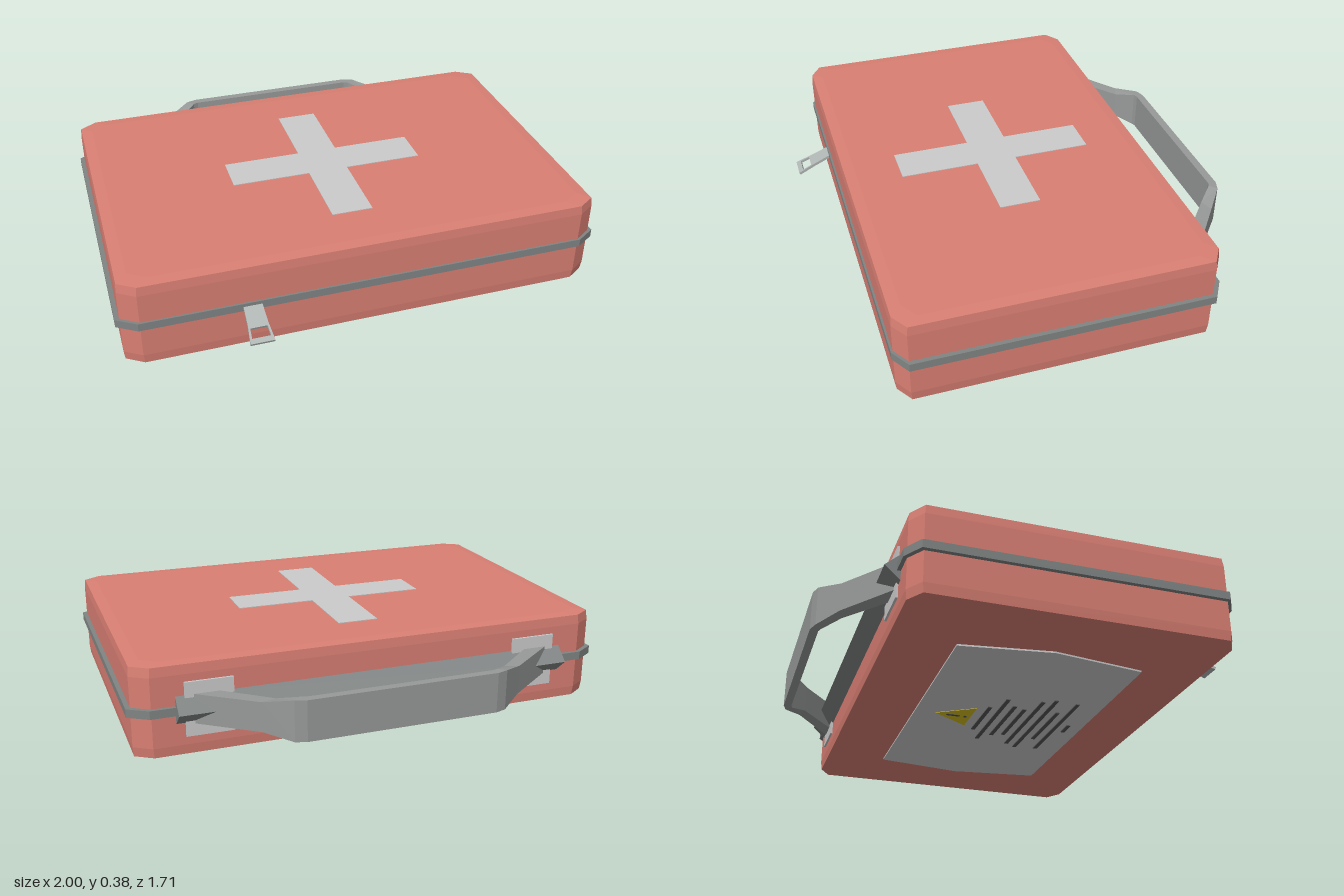
import * as THREE from 'three';

const RED = 0xd97f73, DARK = 0x808584, STRAP = 0x979a99, GREY = 0xcccccc;

function add(group, name, geometry, color = GREY) {
  const material = new THREE.MeshStandardMaterial({ color, flatShading: true });
  const mesh = new THREE.Mesh(geometry, material);
  mesh.name = name;
  group.add(mesh);
  return mesh;
}

// Closed skin through a row of rings with equal point counts, capped at both ends
function loft(rings) {
  const n = rings[0].length, index = [];
  for (let i = 0; i < rings.length - 1; i++) {
    for (let j = 0; j < n; j++) {
      const a = i * n + j, b = i * n + (j + 1) % n;
      index.push(a, b, b + n, a, b + n, a + n);
    }
  }
  const last = (rings.length - 1) * n;
  for (let j = 1; j < n - 1; j++) {
    index.push(0, j + 1, j, last, last + j, last + j + 1);
  }
  const geometry = new THREE.BufferGeometry();
  geometry.setAttribute('position', new THREE.Float32BufferAttribute(rings.flat(2), 3));
  geometry.setIndex(index);
  const flat = geometry.toNonIndexed();
  flat.computeVertexNormals();
  return flat;
}

// Rectangle with cut corners at height y
function outline(y, x, back, front, cx = 0.07, cz = 0.045) {
  return [
    [-x + cx, y, front], [x - cx, y, front], [x, y, front - cz], [x, y, back + cz],
    [x - cx, y, back], [-x + cx, y, back], [-x, y, back + cz], [-x, y, front - cz],
  ];
}

const toShape = (points) => new THREE.Shape(points.map(([x, y]) => new THREE.Vector2(x, y)));

// Thin slab whose shape y runs along +z and whose thickness goes down
function slab(shape, depth, tilt = 0) {
  return new THREE.ExtrudeGeometry(shape, { depth, bevelEnabled: false }).rotateX(Math.PI / 2 + tilt);
}

export function createModel() {
  const model = new THREE.Group();
  model.name = 'firstAidCase';

  // Case with barely softened top and bottom edges
  const levels = [[0.011, 0.05], [0.015, 0.004], [0.055, 0], [0.34, 0], [0.378, 0.004], [0.382, 0.05]];
  add(model, 'caseBody', loft(levels.map(([y, inset]) =>
    outline(y, 0.982 - inset, -0.595 + inset, 0.7 - inset))), RED);

  // Zip band around the middle
  add(model, 'zipBand', loft([0.183, 0.217].map((y) => outline(y, 1, -0.61, 0.708, 0.08, 0.05))), DARK);

  // Cross on the lid
  const a = 0.085, l = 0.415;
  const cross = toShape([[-a, -l], [a, -l], [a, -a], [l, -a], [l, a], [a, a],
    [a, l], [-a, l], [-a, a], [-l, a], [-l, -a], [-a, -a]]);
  add(model, 'lidCross', slab(cross, 0.004)).position.set(0, 0.385, 0.05);

  // Zip pull with a slot
  const pull = toShape([[-0.037, 0], [0.037, 0], [0.04, 0.085], [0.048, 0.165],
    [-0.048, 0.165], [-0.04, 0.085]]);
  pull.holes.push(new THREE.Path([[-0.034, 0.1], [-0.037, 0.143], [0.037, 0.143], [0.034, 0.1]]
    .map(([x, y]) => new THREE.Vector2(x, y))));
  add(model, 'zipPull', slab(pull, 0.012, 0.4), 0xb0b6b4).position.set(-0.48, 0.205, 0.703);

  // Mounting plates and wedge rail on the back
  for (const side of [-1, 1]) {
    const plate = add(model, 'handlePlate', new THREE.BoxGeometry(0.19, 0.22, 0.012));
    plate.position.set(side * 0.69, 0.2, -0.598);
  }
  add(model, 'handleRail', loft([-0.82, 0.82].map((x) =>
    [[x, 0.14, -0.59], [x, 0.2, -0.657], [x, 0.26, -0.59]])), DARK);

  // Handle: outer x, outer z, inner x, inner z, half height
  const half = [
    [0.755, -0.6, 0.655, -0.6, 0.06],
    [0.535, -0.765, 0.475, -0.748, 0.06],
    [0.435, -0.842, 0.405, -0.815, 0.083],
    [0.39, -0.856, 0.385, -0.822, 0.083],
  ];
  const ring = (s) => ([ox, oz, ix, iz, h]) => [
    [s * ox, 0.2 - h, oz], [s * ox, 0.2 + h, oz], [s * ix, 0.2 + h, iz], [s * ix, 0.2 - h, iz]];
  add(model, 'handle', loft([...half.map(ring(-1)), ...half.map(ring(1)).reverse()]), STRAP);

  // Label on the underside, with a warning sign and rows of bars
  const label = new THREE.Group();
  label.name = 'undersideLabel';
  model.add(label);
  const sheet = toShape([[-0.645, -0.33], [0.645, -0.33], [0.7, 0.05], [0.645, 0.44],
    [-0.645, 0.44], [-0.7, 0.05]]);
  add(label, 'labelSheet', slab(sheet, 0.008)).position.y = 0.012;
  add(label, 'warningTriangle', slab(toShape([[0, -0.24], [0.1, -0.08], [-0.1, -0.08]]), 0.003), 0xd8c020)
    .position.y = 0.005;
  const bar = (name, width, depth, z) =>
    add(label, name, new THREE.BoxGeometry(width, 0.005, depth), 0x555555).position.set(0, 0.0025, z);
  bar('warningStroke', 0.014, 0.06, -0.16);
  bar('warningDot', 0.014, 0.014, -0.105);
  [0.26, 0.46, 0.34, 0.3, 0.5, 0.56, 0.32, 0.54, 0.08].forEach((width, i) =>
    bar('labelBar', width, 0.018, -0.03 + i * 0.05));

  return model;
}
